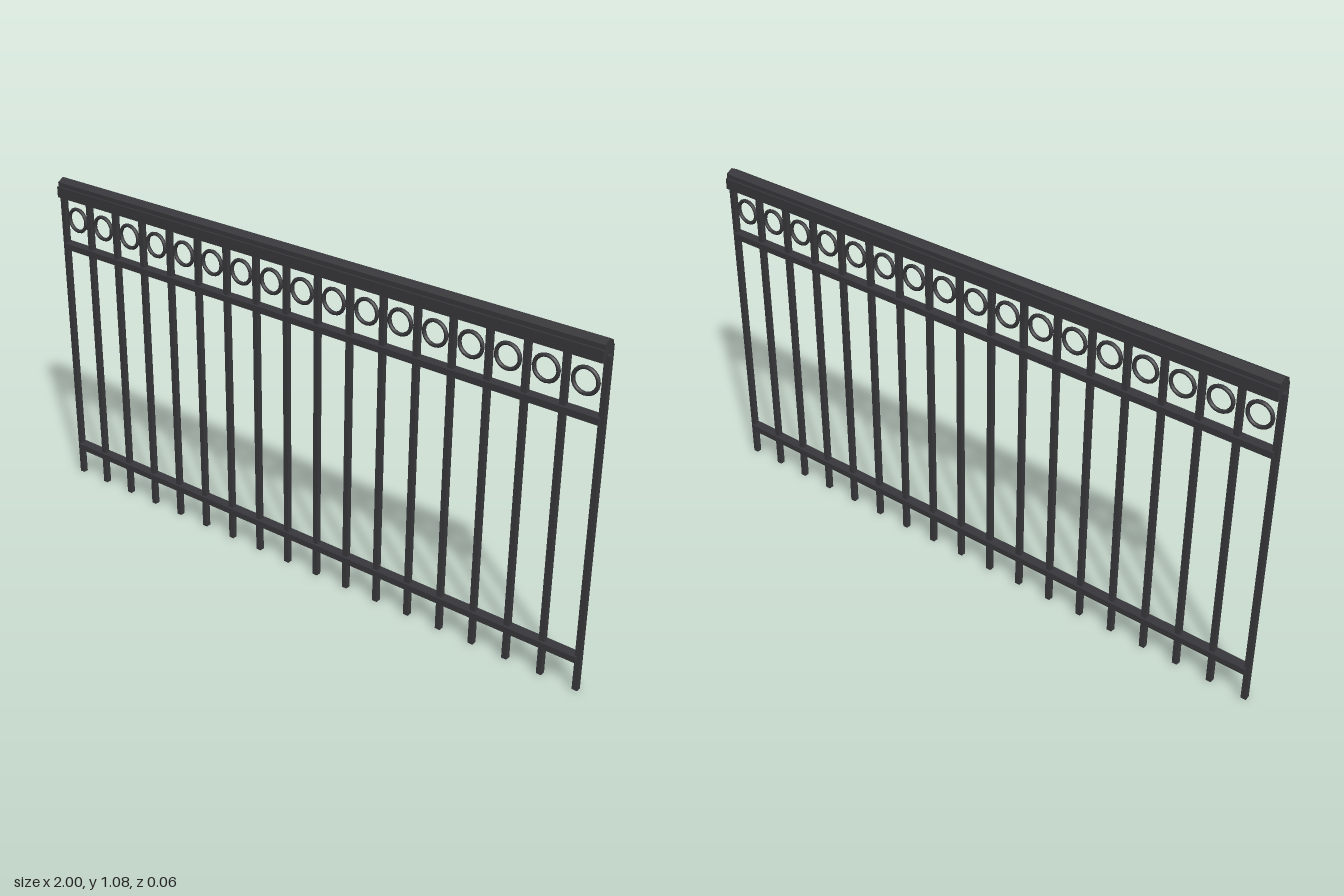
import * as THREE from 'three';

export function createModel() {
  const group = new THREE.Group();
  const iron = new THREE.MeshStandardMaterial({ color: 0x38383c });
  iron.name = 'darkIron';

  const add = (name, geometry, x, y, z = 0) => {
    const mesh = new THREE.Mesh(geometry, iron);
    mesh.name = name;
    mesh.position.set(x, y, z);
    group.add(mesh);
  };

  const bays = 17;
  const reach = 0.9915; // centre of the end pickets
  const pitch = (2 * reach) / bays;
  const railLength = 1.98;

  // Square pickets
  const picketHeight = 1.034;
  const picket = new THREE.BoxGeometry(0.017, picketHeight, 0.017);
  for (let i = 0; i <= bays; i++) add('picket', picket, -reach + i * pitch, picketHeight / 2);

  // Decorative ring in the middle of each bay
  const ring = new THREE.TorusGeometry(0.037, 0.006, 8, 20);
  for (let i = 0; i < bays; i++) add('ring', ring, -reach + (i + 0.5) * pitch, 0.945);

  // Lower and middle rails
  const rail = new THREE.BoxGeometry(railLength, 0.02, 0.033);
  add('lowerRail', rail, 0, 0.105);
  add('middleRail', rail, 0, 0.849);

  // Handrail: a wide base, a narrower step and a shallow ridge, extruded along x
  const half = [[0.028, 1.019], [0.028, 1.054], [0.022, 1.054], [0.022, 1.068]];
  const profile = new THREE.Shape([
    ...half.map(([z, y]) => new THREE.Vector2(z, y)),
    new THREE.Vector2(0, 1.08),
    ...half.slice().reverse().map(([z, y]) => new THREE.Vector2(-z, y)),
  ]);
  const handrail = new THREE.ExtrudeGeometry(profile, { depth: railLength, bevelEnabled: false });
  handrail.translate(0, 0, -railLength / 2).rotateY(Math.PI / 2);
  add('handrail', handrail, 0, 0);

  return group;
}
